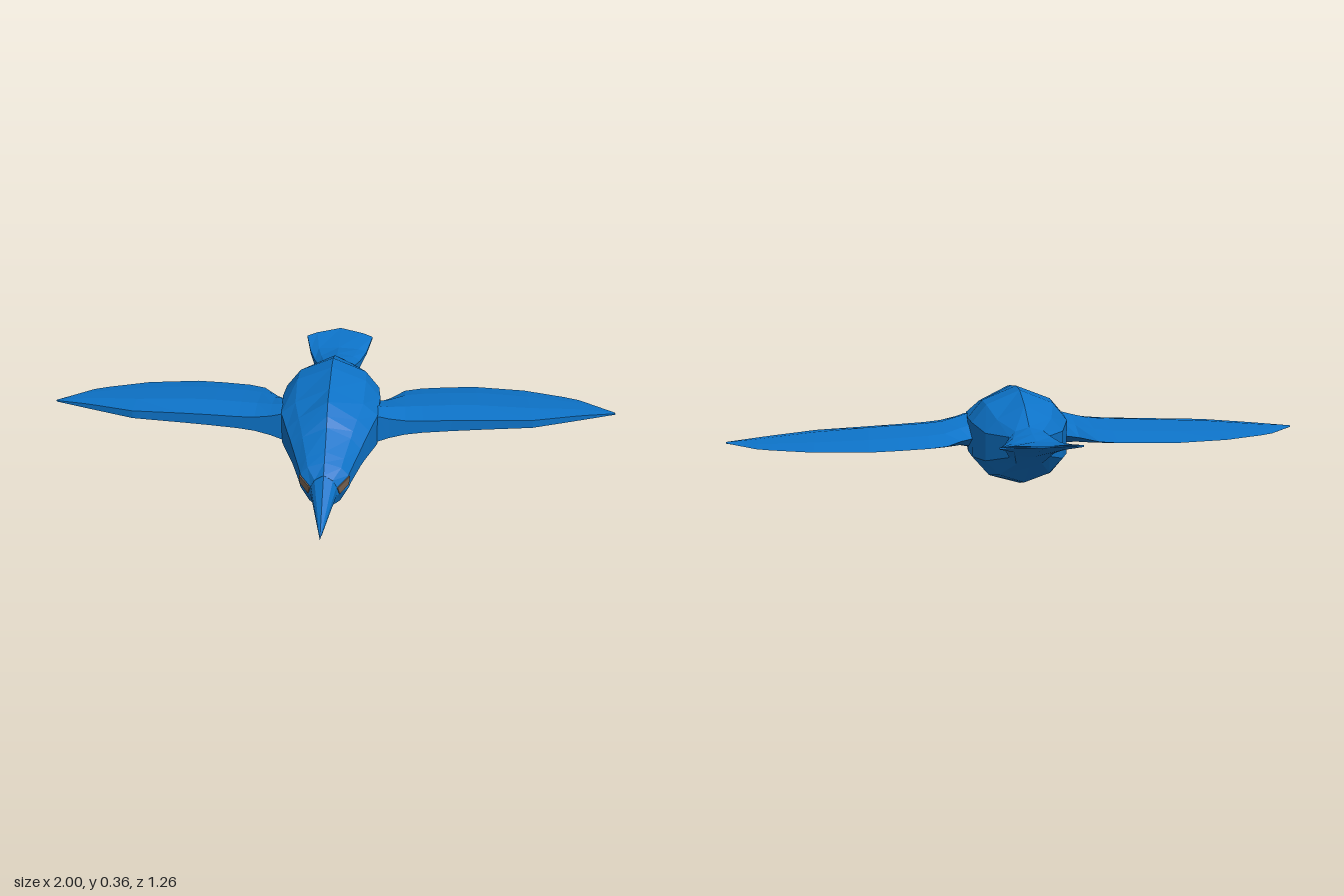
import * as THREE from 'three';

const blue = new THREE.MeshStandardMaterial({ color: 0x0d73c8, flatShading: true });
const brown = new THREE.MeshStandardMaterial({ color: 0x75604f, flatShading: true, side: THREE.DoubleSide });

// Skin a list of equal-length rings and close both ends with fans
function loft(name, rings, material = blue) {
  const pos = [];
  const n = rings[0].length;
  const tri = (a, b, c) => pos.push(...a, ...b, ...c);
  for (let r = 0; r < rings.length - 1; r++) {
    for (let i = 0; i < n; i++) {
      const j = (i + 1) % n, a = rings[r], b = rings[r + 1];
      tri(a[i], a[j], b[j]);
      tri(a[i], b[j], b[i]);
    }
  }
  const cap = (ring, flip) => {
    const c = [0, 1, 2].map(k => ring.reduce((s, p) => s + p[k], 0) / n);
    for (let i = 0; i < n; i++) {
      const p = ring[i], q = ring[(i + 1) % n];
      flip ? tri(c, q, p) : tri(c, p, q);
    }
  };
  cap(rings[0], true);
  cap(rings[rings.length - 1], false);
  const g = new THREE.BufferGeometry();
  g.setAttribute('position', new THREE.Float32BufferAttribute(pos, 3));
  g.computeVertexNormals();
  const mesh = new THREE.Mesh(g, material);
  mesh.name = name;
  return mesh;
}

// Ten-sided body section: heights run from crown to belly, sweep moves the sides along z
function bodyRing([z, w, top, shoulder, sideHigh, sideLow, low, bottom, sweep = 0]) {
  const half = [[0.7, shoulder], [1, sideHigh], [1, sideLow], [0.65, low]];
  const point = (s, [f, y]) => [s * f * w, y, z + sweep * f];
  return [
    [0, top, z],
    ...half.map(h => point(-1, h)),
    [0, bottom, z],
    ...half.map(h => point(1, h)).reverse(),
  ];
}

// Wing section: blunt leading edge, thick forward part, thin trailing edge
function wingRing([x, lead, trail, top, bottom, edge]) {
  const mid = 0.193, z1 = lead + (trail - lead) * 0.28, z2 = lead + (trail - lead) * 0.7;
  return [
    [x, top, z1],
    [x, mid + edge, lead],
    [x, mid - edge, lead],
    [x, bottom, z1],
    [x, mid + (bottom - mid) * 0.6, z2],
    [x, mid, trail],
    [x, mid + (top - mid) * 0.6, z2],
  ];
}

export function createModel() {
  const bird = new THREE.Group();
  bird.name = 'bird';

  // Tail, trunk and head, from back to front
  const stations = [
    [-0.63, 0.13, 0.28, 0.276, 0.268, 0.262, 0.27, 0.278, 0.065],
    [-0.46, 0.11, 0.26, 0.255, 0.245, 0.236, 0.228, 0.222],
    [-0.38, 0.088, 0.267, 0.256, 0.238, 0.215, 0.198, 0.19],
    [-0.31, 0.066, 0.275, 0.262, 0.243, 0.175, 0.152, 0.14],
    [-0.20, 0.132, 0.328, 0.28, 0.235, 0.14, 0.09, 0.06],
    [-0.09, 0.166, 0.36, 0.312, 0.25, 0.13, 0.062, 0.03],
    [0.00, 0.172, 0.36, 0.312, 0.25, 0.13, 0.062, 0.03],
    [0.14, 0.165, 0.338, 0.285, 0.243, 0.135, 0.07, 0.042],
    [0.22, 0.14, 0.324, 0.262, 0.22, 0.135, 0.075, 0.05],
    [0.265, 0.123, 0.292, 0.24, 0.2, 0.13, 0.068, 0.044],
    [0.29, 0.114, 0.262, 0.225, 0.187, 0.126, 0.06, 0.04],
    [0.37, 0.088, 0.213, 0.19, 0.158, 0.11, 0.05, 0.025],
    [0.405, 0.078, 0.192, 0.174, 0.148, 0.102, 0.055, 0.038],
    [0.445, 0.042, 0.166, 0.148, 0.126, 0.094, 0.058, 0.045],
  ];
  bird.add(loft('body', stations.map(bodyRing)));

  // Open beak: each half tapers to a point
  const beak = (name, base, tip) => {
    const ring = base.map(([x, y]) => [x, y, 0.443]);
    bird.add(loft(name, [ring, base.map(() => tip)]));
  };
  beak('upperBeak',
    [[0, 0.167], [-0.03, 0.148], [-0.042, 0.126], [-0.042, 0.094], [0, 0.1], [0.042, 0.094], [0.042, 0.126], [0.03, 0.148]],
    [0, 0.037, 0.63]);
  beak('lowerBeak',
    [[0, 0.1], [-0.042, 0.097], [-0.028, 0.058], [0, 0.045], [0.028, 0.058], [0.042, 0.097]],
    [0, 0, 0.54]);

  // Wings: x, leading z, trailing z, top, bottom, half height of the leading edge
  const wing = [
    [0.10, 0.145, -0.09, 0.255, 0.125, 0.05],
    [0.17, 0.142, -0.095, 0.25, 0.13, 0.046],
    [0.205, 0.135, -0.125, 0.242, 0.142, 0.036],
    [0.26, 0.125, -0.2, 0.233, 0.153, 0.026],
    [0.32, 0.115, -0.225, 0.23, 0.156, 0.022],
    [0.42, 0.1, -0.242, 0.229, 0.157, 0.02],
    [0.52, 0.088, -0.252, 0.226, 0.158, 0.018],
    [0.70, 0.07, -0.228, 0.217, 0.165, 0.014],
    [0.84, 0.02, -0.175, 0.208, 0.175, 0.01],
    [0.89, 0.003, -0.15, 0.204, 0.18, 0.008],
    [1.00, -0.032, -0.045, 0.196, 0.19, 0.002],
  ].map(wingRing);
  const mirrored = wing.map(r => r.map(([x, y, z]) => [-x, y, z])).reverse();
  bird.add(loft('leftWing', wing), loft('rightWing', mirrored));

  // Eyes: small slanted patches on the cheeks
  for (const s of [1, -1]) {
    const corners = [[0.083, 0.145, 0.407], [0.08, 0.118, 0.41], [0.052, 0.098, 0.44], [0.046, 0.122, 0.447]];
    const outer = corners.map(([x, y, z]) => [s * x, y, z]);
    const inner = corners.map(([x, y, z]) => [s * (x - 0.012), y, z - 0.012]);
    const rings = s > 0 ? [outer, inner] : [inner, outer];
    bird.add(loft(s > 0 ? 'leftEye' : 'rightEye', rings, brown));
  }
  return bird;
}
